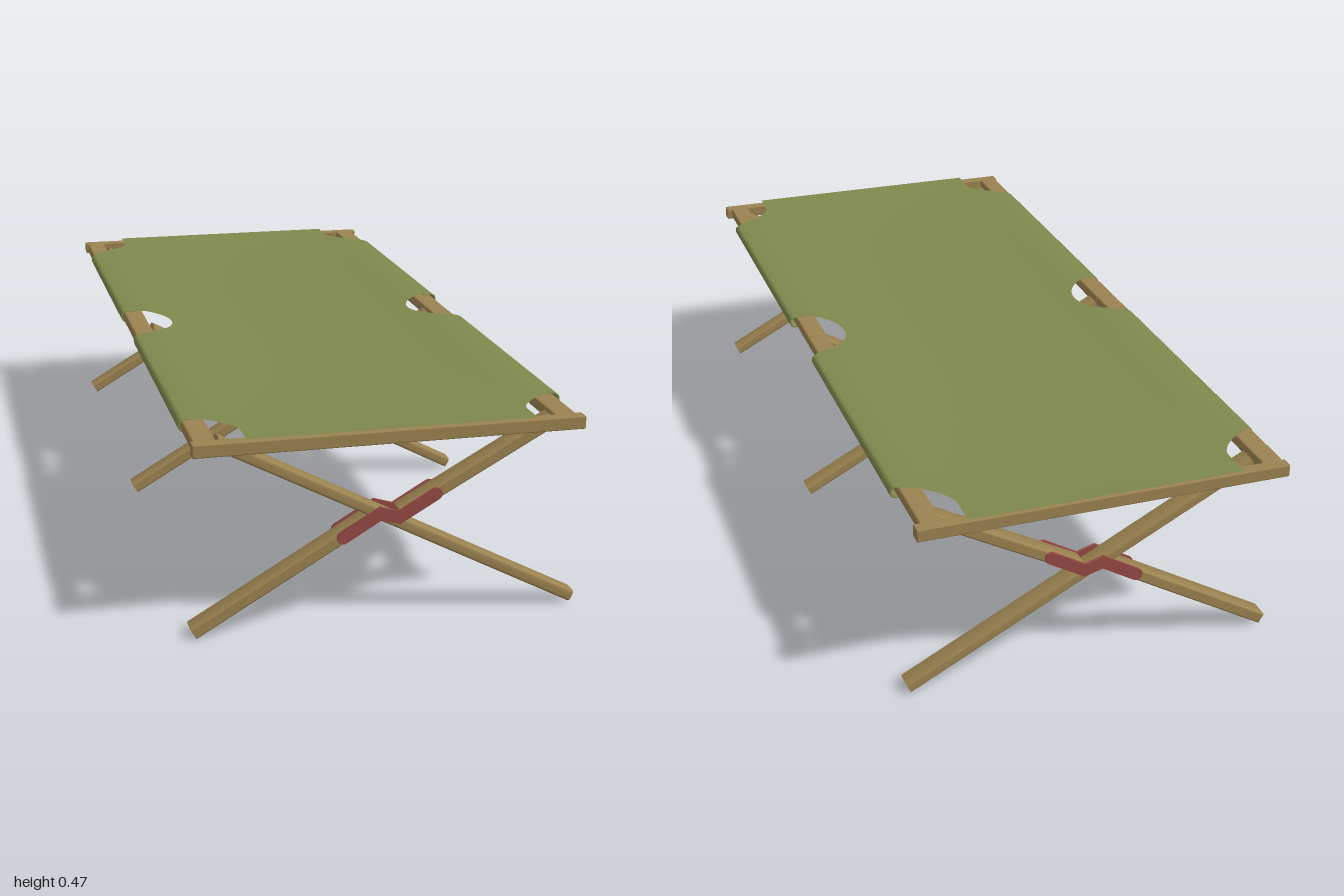
import * as THREE from 'three';
import { RoundedBoxGeometry } from 'three/addons/geometries/RoundedBoxGeometry.js';
import { toCreasedNormals } from 'three/addons/utils/BufferGeometryUtils.js';

const wood = new THREE.MeshStandardMaterial({ name: 'wood', color: 0x9a8250 });
const canvas = new THREE.MeshStandardMaterial({ name: 'canvas green', color: 0x7e884c, side: THREE.DoubleSide });
const red = new THREE.MeshStandardMaterial({ name: 'bracket red', color: 0x934844 });

function add(parent, name, geometry, material, x = 0, y = 0, z = 0) {
  const mesh = new THREE.Mesh(geometry, material);
  mesh.name = name;
  mesh.position.set(x, y, z);
  parent.add(mesh);
  return mesh;
}

// Slat with rounded long edges and square ends, between two points in the xy plane
function slat(parent, name, x1, y1, x2, y2, r) {
  const dx = x2 - x1, dy = y2 - y1, length = Math.hypot(dx, dy);
  const w = 0.025, h = 0.0135;
  const s = new THREE.Shape();
  s.absarc(w - r, h - r, r, 0, Math.PI / 2, false);
  s.absarc(-w + r, h - r, r, Math.PI / 2, Math.PI, false);
  s.absarc(-w + r, -h + r, r, Math.PI, Math.PI * 1.5, false);
  s.absarc(w - r, -h + r, r, Math.PI * 1.5, Math.PI * 2, false);
  const g = new THREE.ExtrudeGeometry(s, { depth: length, bevelEnabled: false, curveSegments: 4 });
  g.translate(0, 0, -length / 2);
  g.rotateY(Math.PI / 2);
  const mesh = add(parent, name, toCreasedNormals(g, 0.7), wood, (x1 + x2) / 2, (y1 + y2) / 2);
  mesh.rotation.z = Math.atan2(dy, dx);
}

// Kinked flat bracket with round ends, joining the two halves of a split leg
function bracketGeometry() {
  const r = 0.0145, a = Math.PI / 6;
  const s = new THREE.Shape();
  s.absarc(-0.105, 0.214, r, a + Math.PI / 2, a + Math.PI * 1.5, false);
  s.lineTo(-0.02, 0.248);
  s.lineTo(0.024, 0.236);
  s.absarc(0.106, 0.3, r, a - Math.PI / 2, a + Math.PI / 2, false);
  s.lineTo(0.021, 0.267);
  s.lineTo(-0.022, 0.28);
  s.closePath();
  const g = new THREE.ExtrudeGeometry(s, { depth: 0.007, bevelEnabled: false, curveSegments: 8 });
  g.translate(0, 0, -0.0035);
  return toCreasedNormals(g, 0.6);
}

// Half width of the cloth along z, with curved cut-outs at corners and middle
function halfWidth(z) {
  const corner = z > 0.5 ? 0.935 - z : z < -0.5 ? z + 0.925 : 1;
  const t = Math.min(1, Math.max(0, corner) / 0.115);
  const m = Math.min(1, Math.abs(z - 0.01) / 0.116);
  const cut = Math.max(1 - t * t, Math.sqrt(1 - m * m));
  return Math.min(0.432, 0.443 - 0.118 * cut);
}

// Cloth sheet, sagging a little in the middle and bending down over the rails
function sheetGeometry() {
  const g = new THREE.PlaneGeometry(2, 2, 24, 400);
  g.rotateX(-Math.PI / 2);
  const p = g.attributes.position;
  for (let i = 0; i < p.count; i++) {
    const z = p.getZ(i), x = p.getX(i) * halfWidth(z);
    const sag = 0.02 * Math.max(0, 1 - (x / 0.38) ** 2) * (1 - z ** 4);
    const drop = 0.0042 * (Math.max(0, Math.abs(x) - 0.38) / 0.052) ** 2;
    p.setXYZ(i, x - 0.004, 0.476 - sag - drop, z);
  }
  g.computeVertexNormals();
  return g;
}

// Hem folded over the outside of a rail
function hemGeometry(side, length) {
  const s = new THREE.Shape();
  s.moveTo(0.4, 0.4745);
  s.lineTo(0.428, 0.4718);
  s.quadraticCurveTo(0.443, 0.47, 0.443, 0.457);
  s.quadraticCurveTo(0.443, 0.443, 0.43, 0.442);
  s.lineTo(0.405, 0.442);
  s.lineTo(0.405, 0.445);
  s.lineTo(0.428, 0.445);
  s.quadraticCurveTo(0.439, 0.446, 0.439, 0.457);
  s.quadraticCurveTo(0.439, 0.467, 0.427, 0.469);
  s.lineTo(0.4, 0.4715);
  s.closePath();
  const g = new THREE.ExtrudeGeometry(s, { depth: length, bevelEnabled: false, curveSegments: 5 });
  g.translate(0, 0, -length / 2);
  if (side < 0) g.rotateY(Math.PI);
  return toCreasedNormals(g, 0.7);
}

export function createModel() {
  const model = new THREE.Group();
  model.name = 'foldingCot';

  // End bars and the rails, each rail in two halves meeting at the middle
  for (const end of [1, -1]) {
    add(model, 'endBar', new RoundedBoxGeometry(0.88, 0.03, 0.03, 2, 0.003), wood, -0.005, 0.455, end * 0.984);
    for (const x of [0.396, -0.415]) {
      add(model, 'sideRail', new RoundedBoxGeometry(0.05, 0.027, 0.97, 2, 0.005), wood, x, 0.457, 0.004 + end * 0.487);
    }
  }

  // Three crossed leg pairs, each with a bracket plate on both faces
  const bracket = bracketGeometry();
  for (const z of [0.93, 0.008, -0.915]) {
    const legs = new THREE.Group();
    legs.name = 'crossedLegs';
    legs.position.z = z;
    slat(legs, 'straightLeg', 0.44, 0.0165, -0.385, 0.453, 0.01);
    slat(legs, 'splitLegLower', -0.442, 0.0145, -0.03, 0.256, 0.004);
    slat(legs, 'splitLegUpper', 0.03, 0.256, 0.385, 0.453, 0.004);
    for (const face of [1, -1]) add(legs, 'legBracket', bracket, red, 0, 0, face * 0.0265);
    model.add(legs);
  }

  // Cloth sheet and its hems
  add(model, 'clothSheet', sheetGeometry(), canvas);
  for (const side of [1, -1]) {
    for (const z of [0.478, -0.46]) {
      add(model, 'clothHem', hemGeometry(side, 0.7), canvas, -0.004, 0, z);
    }
  }
  return model;
}
